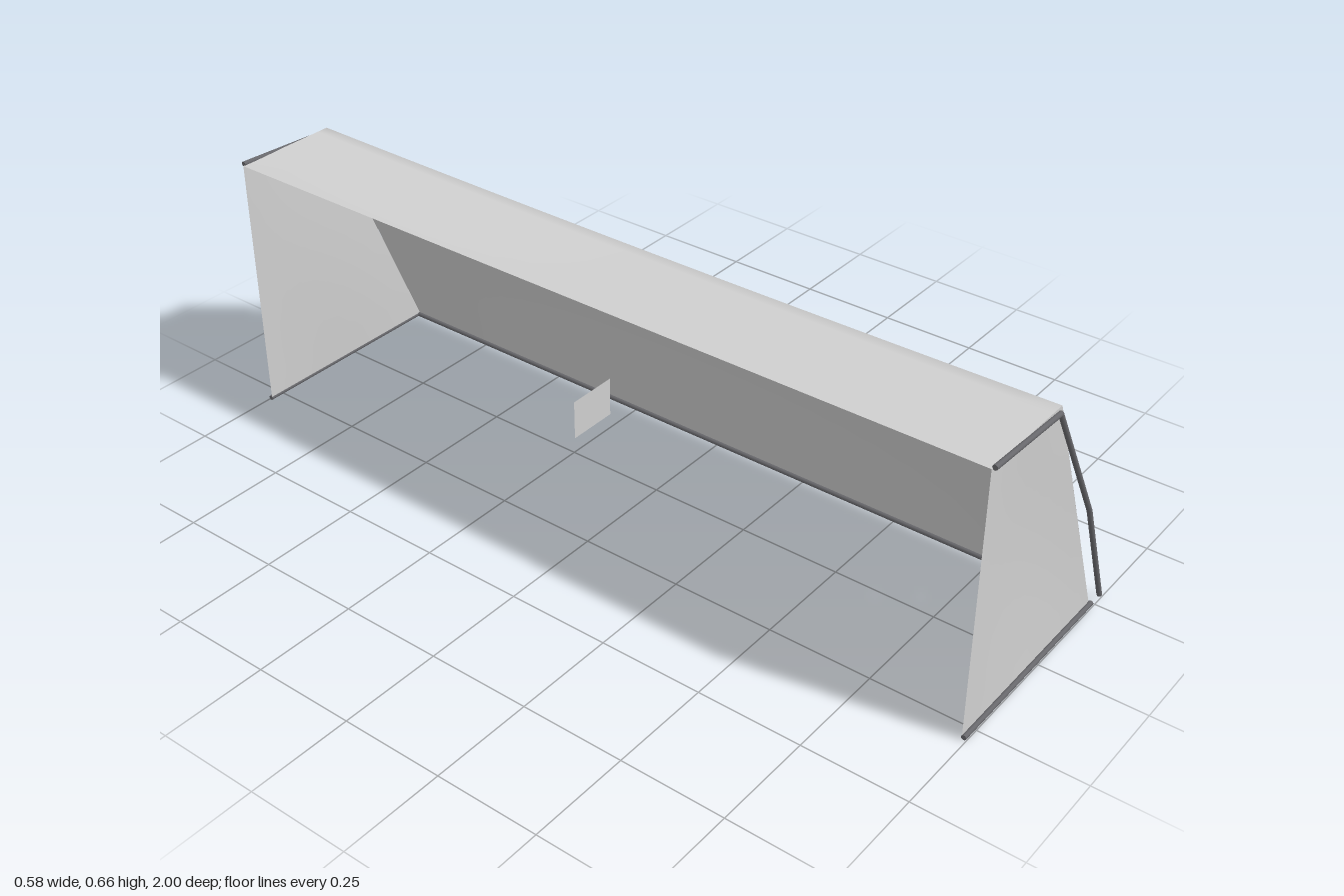
import * as THREE from 'three';

const netMat = new THREE.MeshStandardMaterial({ color: 0xcfcfcf, side: THREE.DoubleSide });
netMat.name = 'net grey';
const poleMat = new THREE.MeshStandardMaterial({ color: 0x68686c });
poleMat.name = 'pole grey';

const END = 0.99, POLE_R = 0.006;

// Smooth sheet: fn(u, v) -> [x, y, z], u and v running 0..1
function sheet(name, nu, nv, fn) {
  const geo = new THREE.PlaneGeometry(1, 1, nu, nv);
  const pos = geo.attributes.position;
  for (let i = 0; i < pos.count; i++) {
    pos.setXYZ(i, ...fn(pos.getX(i) + 0.5, pos.getY(i) + 0.5));
  }
  geo.computeVertexNormals();
  const mesh = new THREE.Mesh(geo, netMat);
  mesh.name = name;
  return mesh;
}

// Round pole through a list of points, with straight runs
function pole(name, points) {
  const path = new THREE.CurvePath();
  const group = new THREE.Group();
  group.name = name;
  const v = points.map(p => new THREE.Vector3(...p));
  for (let i = 1; i < v.length; i++) path.add(new THREE.LineCurve3(v[i - 1], v[i]));
  for (const line of path.curves) {
    const dir = line.v2.clone().sub(line.v1);
    const rod = new THREE.Mesh(new THREE.CylinderGeometry(POLE_R, POLE_R, dir.length(), 10), poleMat);
    rod.name = name + 'Rod';
    rod.position.copy(line.v1).addScaledVector(dir, 0.5);
    rod.quaternion.setFromUnitVectors(new THREE.Vector3(0, 1, 0), dir.normalize());
    group.add(rod);
  }
  // rounded joints
  for (const p of v.slice(1, -1)) {
    const joint = new THREE.Mesh(new THREE.SphereGeometry(POLE_R, 10, 6), poleMat);
    joint.name = name + 'Joint';
    joint.position.copy(p);
    group.add(joint);
  }
  return group;
}

export function createModel() {
  const model = new THREE.Group();
  model.name = 'goal';

  // Roof and sloping back in one sheet, sagging towards the middle
  const profileSize = 9;
  model.add(sheet('roofAndBackNet', profileSize - 1, 24, (u, v) => {
    const s = v * 2 - 1, sag = 1 - s * s;
    const rx = -0.025 + 0.012 * sag, ry = 0.65 - 0.014 * sag;
    const bow = 0.011 * sag;
    const profile = [
      [-0.29, 0.65],
      [-0.16, 0.65 - 0.007 * sag],
      [rx - 0.03, ry],
      [rx, ry - 0.001 * sag],
      [0.0 + bow * 0.3, 0.59],
      [0.037 + bow, 0.5],
      [0.099 + bow, 0.35],
      [0.169 + bow * 0.7, 0.18],
      [0.24, 0.008],
    ];
    const [x, y] = profile[Math.round(u * (profileSize - 1))];
    return [x, y, s * END];
  }));

  for (const side of [-1, 1]) {
    const label = side > 0 ? 'front' : 'rear';

    // End net, bowed slightly inwards
    model.add(sheet(label + 'EndNet', 10, 10, (u, v) => {
      const y = 0.008 + 0.642 * v;
      const edge = 0.24 - 0.265 * v;
      const bow = 0.008 * Math.sin(Math.PI * u) * Math.sin(Math.PI * v);
      return [-0.29 + (edge + 0.29) * u, y, side * (END - bow)];
    }));

    // Bent upper pole and straight ground pole
    const z = side * 0.994;
    model.add(pole(label + 'BentPole', [
      [-0.285, 0.652, z], [-0.036, 0.639, z], [0.164, 0.298, z], [0.282, 0.006, z],
    ]));
    model.add(pole(label + 'GroundPole', [[-0.29, 0.008, z], [0.243, 0.008, z]]));
  }

  // Long ground rail at the foot of the back net
  model.add(pole('backGroundRail', [[0.237, 0.008, -0.994], [0.237, 0.008, 0.994]]));

  // Small loose panel in the mouth
  const panel = new THREE.Mesh(new THREE.PlaneGeometry(0.12, 0.092), netMat);
  panel.name = 'smallPanel';
  panel.position.set(-0.224, 0.345, 0);
  model.add(panel);

  return model;
}
